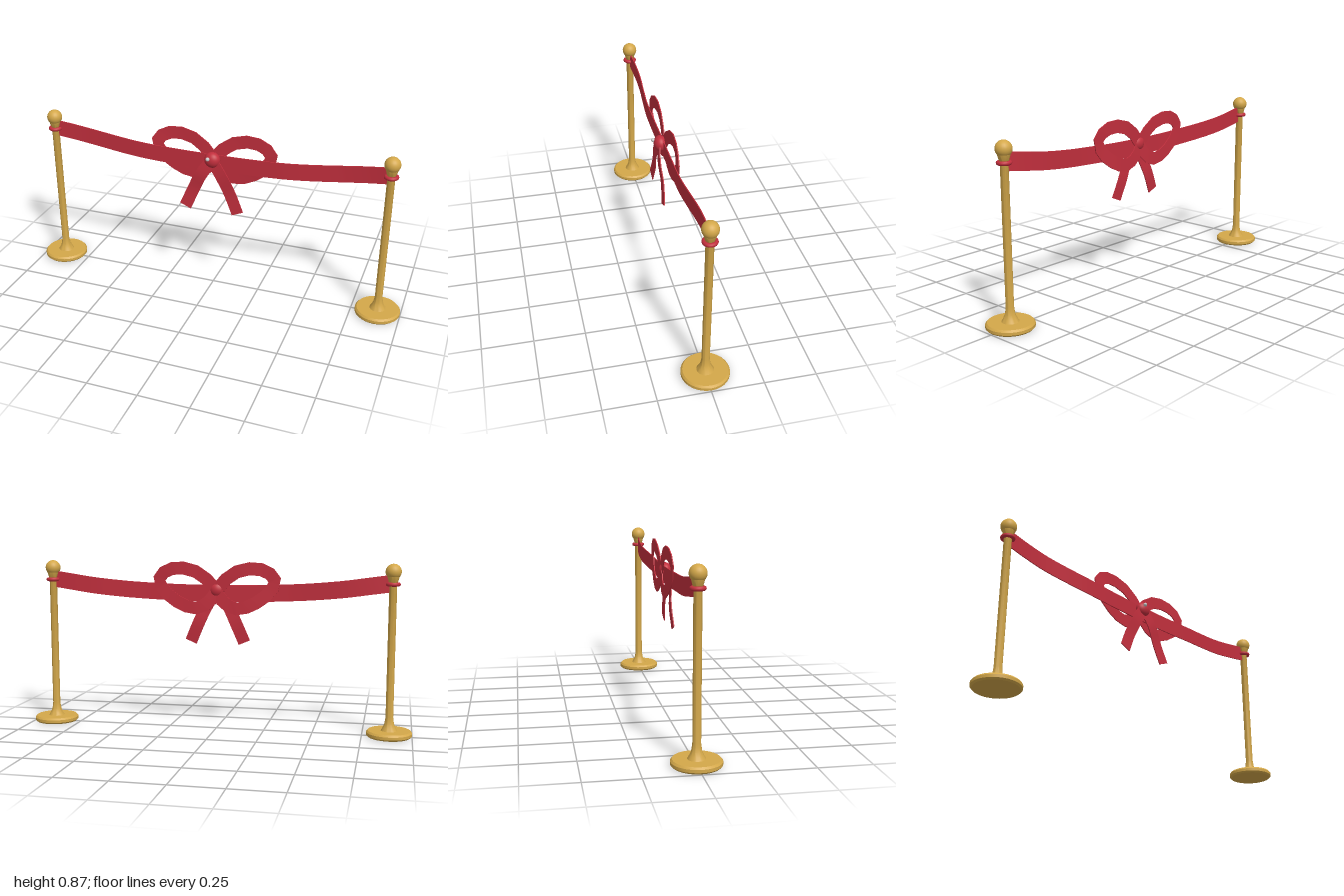
import * as THREE from 'three';
import { toCreasedNormals } from 'three/addons/utils/BufferGeometryUtils.js';

const gold = new THREE.MeshStandardMaterial({ color: 0xd4a84a });
const red = new THREE.MeshStandardMaterial({ color: 0xc22f3d });
const grey = new THREE.MeshStandardMaterial({ color: 0xcccccc });

function add(parent, name, geometry, material, x = 0, y = 0, z = 0) {
  const mesh = new THREE.Mesh(geometry, material);
  mesh.name = name;
  mesh.position.set(x, y, z);
  parent.add(mesh);
  return mesh;
}

// Thin band swept along a path, its width lying in the xy plane
function bandGeometry(points, width, thickness, segments) {
  const curve = new THREE.CatmullRomCurve3(points.map(p => new THREE.Vector3(...p)));
  const pos = [], index = [];
  for (let i = 0; i <= segments; i++) {
    const p = curve.getPoint(i / segments), t = curve.getTangent(i / segments);
    const l = Math.hypot(t.x, t.y);
    const nx = -t.y / l * width / 2, ny = t.x / l * width / 2, h = thickness / 2;
    for (const [s, d] of [[-1, h], [1, h], [1, -h], [-1, -h]]) {
      pos.push(p.x + s * nx, p.y + s * ny, p.z + d);
    }
    if (i === segments) continue;
    for (let k = 0; k < 4; k++) {
      const a = i * 4 + k, b = i * 4 + (k + 1) % 4;
      index.push(a, a + 4, b, b, a + 4, b + 4);
    }
  }
  const e = segments * 4;
  index.push(0, 1, 2, 0, 2, 3, e, e + 2, e + 1, e, e + 3, e + 2);
  const g = new THREE.BufferGeometry();
  g.setAttribute('position', new THREE.Float32BufferAttribute(pos, 3));
  g.setIndex(index);
  return toCreasedNormals(g, 0.6);
}

function createPost(side) {
  const post = new THREE.Group();
  post.name = side < 0 ? 'rightPost' : 'leftPost';
  post.position.x = side * 0.886;
  // Disc foot, flare, pole and neck in one turned profile
  const profile = [
    [0, 0], [0.106, 0], [0.114, 0.008], [0.114, 0.022], [0.106, 0.031], [0.041, 0.031],
    [0.033, 0.045], [0.024, 0.065], [0.021, 0.085], [0.019, 0.1], [0.019, 0.77],
    [0.022, 0.775], [0.03, 0.803], [0, 0.803],
  ].map(p => new THREE.Vector2(...p));
  add(post, 'pole', toCreasedNormals(new THREE.LatheGeometry(profile, 32), 0.6), gold);
  add(post, 'finial', new THREE.SphereGeometry(0.039, 24, 16), gold, 0, 0.827);
  // Ribbon collar
  add(post, 'collar', new THREE.TorusGeometry(0.026, 0.01, 10, 28).rotateX(Math.PI / 2), red, 0, 0.765);
  return post;
}

export function createModel() {
  const model = new THREE.Group();
  model.name = 'ribbonBarrier';
  model.add(createPost(-1), createPost(1));

  // Sagging ribbon, waving gently in depth
  const half = [[0.2, 0.707, 0.005], [0.38, 0.714, 0.005], [0.5, 0.722, -0.002],
    [0.65, 0.737, -0.011], [0.78, 0.755, -0.008], [0.875, 0.768, 0]];
  const path = [...half.map(([x, y, z]) => [-x, y, z]).reverse(), [0, 0.705, 0.004], ...half];
  add(model, 'ribbon', bandGeometry(path, 0.085, 0.005, 40), red);

  // Bow: loops behind the ribbon, tails in front
  const bow = new THREE.Group();
  bow.name = 'bow';
  model.add(bow);
  const loop = [[0.005, 0.725, -0.004], [0.08, 0.803, -0.009], [0.18, 0.834, -0.011],
    [0.265, 0.817, -0.006], [0.302, 0.77, -0.002], [0.265, 0.705, -0.004],
    [0.19, 0.652, -0.009], [0.11, 0.628, -0.011], [0.045, 0.655, -0.009], [0.005, 0.705, -0.006]];
  const tail = [[0.005, 0.715, 0.024], [0.055, 0.64, 0.031], [0.098, 0.55, 0.025], [0.141, 0.45, 0.031]];
  for (const side of [-1, 1]) {
    const label = side < 0 ? 'right' : 'left';
    const mirror = pts => pts.map(([x, y, z]) => [side * x, y, z]);
    add(bow, label + 'Loop', bandGeometry(mirror(loop), 0.066, 0.005, 14), red);
    add(bow, label + 'Tail', bandGeometry(mirror(tail), 0.063, 0.005, 10), red);
  }
  add(bow, 'knot', new THREE.SphereGeometry(0.041, 28, 20), red, 0, 0.722, 0.015).scale.z = 0.8;
  add(bow, 'pin', new THREE.SphereGeometry(0.01, 14, 10), grey, -0.013, 0.737, 0.049);
  return model;
}
